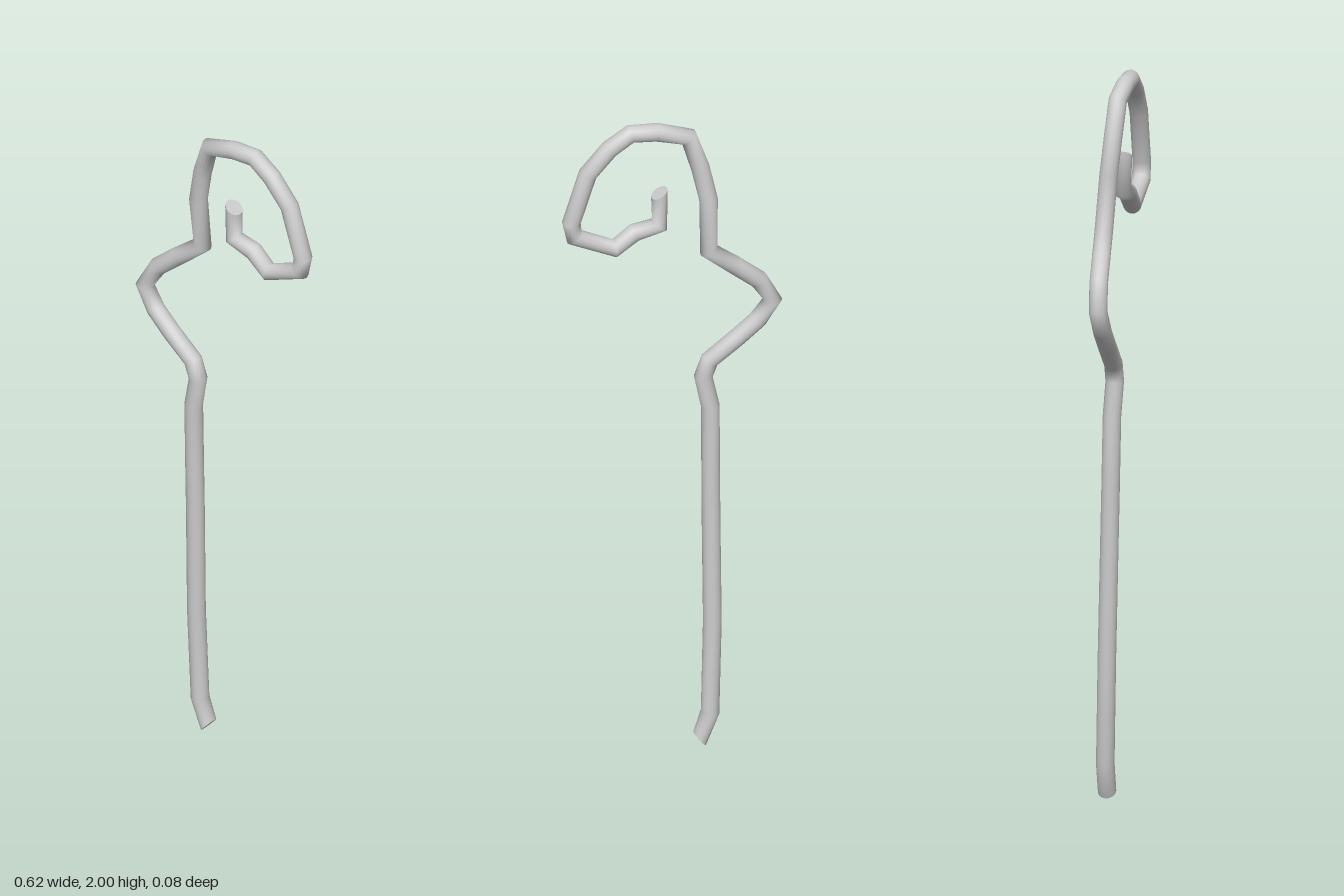
import * as THREE from 'three';

const RADIUS = 0.026;
const SIDES = 16;

// Centre line of the bent rod, from the foot to the tip of the hook
const PATH = [
  // straight shaft with kicked foot
  [-0.075, 0.02, -0.01], [-0.105, 0.1, -0.009], [-0.113, 0.39, -0.003], [-0.111, 0.73, 0.004],
  [-0.111, 0.865, 0.007], [-0.111, 1.07, 0.011],
  // sideways crank
  [-0.092, 1.165, 0.015], [-0.11, 1.215, 0.015], [-0.188, 1.275, 0.014], [-0.246, 1.325, 0.012],
  [-0.288, 1.387, 0.008], [-0.246, 1.46, 0.001], [-0.177, 1.52, -0.006], [-0.1, 1.585, -0.014],
  // curled hook
  [-0.103, 1.74, 0.0], [-0.082, 1.84, 0.008], [-0.05, 1.94, 0.015], [0.04, 1.968, 0.017],
  [0.115, 1.974, 0.017], [0.175, 1.935, 0.017], [0.237, 1.865, 0.016], [0.284, 1.717, 0.015],
  [0.275, 1.67, 0.015], [0.161, 1.617, 0.013], [0.105, 1.66, 0.011], [0.034, 1.675, 0.01],
  [0.034, 1.775, 0.012],
].map((p) => new THREE.Vector3(...p));

// Oblique directions of the two cut ends
const START = new THREE.Vector3(-0.76, 0.65, 0).normalize();
const END = new THREE.Vector3(0.49, 0.87, 0).normalize();

// Ring of points square to the path at point i
function ring(i) {
  const last = PATH.length - 1;
  const dir = (a, b) => PATH[b].clone().sub(PATH[a]).normalize();
  const t = i === 0 ? START : i === last ? END : dir(i - 1, i).add(dir(i, i + 1)).normalize();
  const u = new THREE.Vector3().crossVectors(t, new THREE.Vector3(0, 0, 1)).normalize();
  const v = new THREE.Vector3().crossVectors(t, u);
  return Array.from({ length: SIDES }, (_, k) => {
    const a = (k / SIDES) * Math.PI * 2;
    return PATH[i].clone().addScaledVector(u, RADIUS * Math.cos(a)).addScaledVector(v, RADIUS * Math.sin(a));
  });
}

function build(points, index) {
  const g = new THREE.BufferGeometry().setFromPoints(points);
  g.setIndex(index);
  g.computeVertexNormals();
  return g;
}

export function createModel() {
  const group = new THREE.Group();
  group.name = 'bentHookRod';
  const material = new THREE.MeshStandardMaterial({ color: 0xcccccc });
  const add = (name, geometry) => {
    const mesh = new THREE.Mesh(geometry, material);
    mesh.name = name;
    group.add(mesh);
  };

  // Rod skin joining successive rings
  const rings = PATH.map((_, i) => ring(i));
  const index = [];
  for (let i = 0; i < rings.length - 1; i++) {
    for (let k = 0; k < SIDES; k++) {
      const n = (k + 1) % SIDES;
      const a = i * SIDES + k, b = i * SIDES + n;
      index.push(a, b, b + SIDES, a, b + SIDES, a + SIDES);
    }
  }
  add('rod', build(rings.flat(), index));

  // Flat caps on the cut ends
  const cap = (points, flip) => {
    const fan = [];
    for (let k = 1; k < SIDES - 1; k++) fan.push(0, flip ? k + 1 : k, flip ? k : k + 1);
    return build(points, fan);
  };
  add('footCap', cap(rings[0], true));
  add('tipCap', cap(rings[rings.length - 1], false));
  return group;
}
